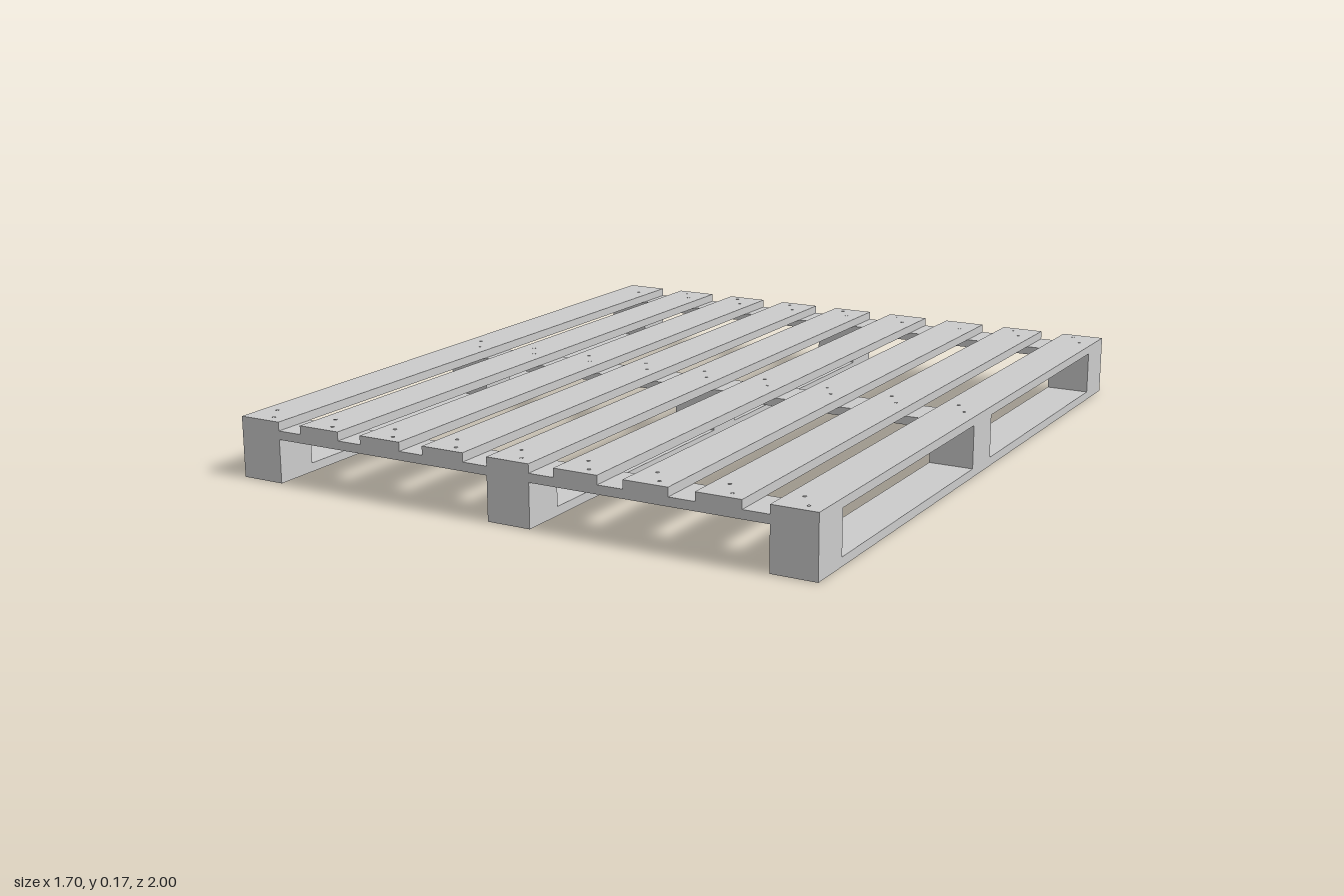
import * as THREE from 'three';

const W = 0.125;            // board width
const T = 0.024;            // board thickness
const BLOCK_H = 0.096;      // spacer block height
const HALF_X = 0.85, HALF_Z = 1;
const COLS = [-1, 0, 1].map((i) => i * (HALF_X - W / 2));
const ROWS = [-1, 0, 1].map((i) => i * (HALF_Z - W / 2));

export function createModel() {
  const pallet = new THREE.Group();
  pallet.name = 'pallet';
  const wood = new THREE.MeshStandardMaterial({ color: 0xcccccc, flatShading: true });

  const add = (name, geometry, x, y, z) => {
    const mesh = new THREE.Mesh(geometry, wood);
    mesh.name = name;
    mesh.position.set(x, y, z);
    pallet.add(mesh);
  };

  const longBoard = new THREE.BoxGeometry(W, T, 2 * HALF_Z);
  const crossBoard = new THREE.BoxGeometry(2 * HALF_X, T, W);
  const block = new THREE.BoxGeometry(W, BLOCK_H, W);
  const nail = new THREE.CylinderGeometry(0.005, 0.005, 0.004, 8);

  const crossY = T + BLOCK_H + T / 2;
  const deckY = crossY + T;
  const topY = deckY + T / 2;

  // Diagonal pair of nail heads, just proud of the board face
  const nailPair = (x, y, z) => {
    for (const s of [-1, 1]) add('nailHead', nail, x + s * 0.02, y, z + s * 0.03);
  };

  // Bottom runners with three blocks each
  for (const x of COLS) {
    add('bottomRunner', longBoard, x, T / 2, 0);
    for (const z of ROWS) {
      add('spacerBlock', block, x, T + BLOCK_H / 2, z);
      nailPair(x, 0.001, z);
    }
  }

  // Cross boards resting on the blocks
  for (const z of ROWS) add('crossBoard', crossBoard, 0, crossY, z);

  // Nine evenly spaced deck slats
  for (let i = 0; i < 9; i++) {
    const x = COLS[0] + (i * (COLS[2] - COLS[0])) / 8;
    add('deckSlat', longBoard, x, deckY, 0);
    for (const z of ROWS) nailPair(x, topY - 0.001, z);
  }

  return pallet;
}
